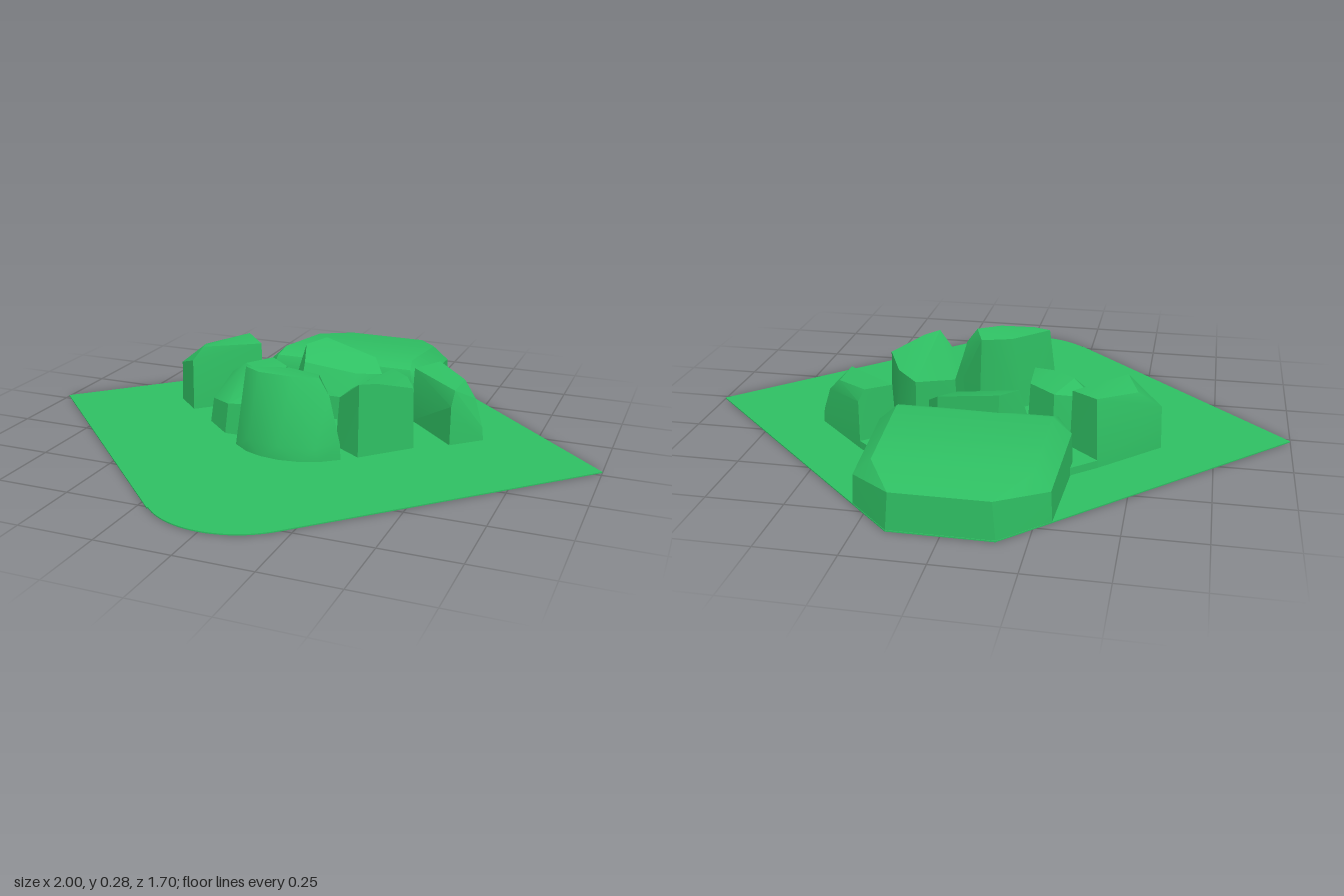
import * as THREE from 'three';
import { ConvexGeometry } from 'three/addons/geometries/ConvexGeometry.js';
import { toCreasedNormals } from 'three/addons/utils/BufferGeometryUtils.js';

export function createModel() {
  const model = new THREE.Group();
  const green = new THREE.MeshStandardMaterial({ color: 0x2fc063 });
  green.name = 'green';

  const add = (name, geometry) => {
    const mesh = new THREE.Mesh(geometry, green);
    mesh.name = name;
    model.add(mesh);
  };

  // A faceted boulder: footprint [x, z] on the ground, top corners [x, y, z]
  const rock = (name, foot, top, crease = 0.4) => {
    const points = foot.map(([x, z]) => new THREE.Vector3(x, 0, z));
    top.forEach((p) => points.push(new THREE.Vector3(...p)));
    add(name, toCreasedNormals(new ConvexGeometry(points), crease));
  };

  // Thin ground plate, diamond shaped with a cut back and a rounded front
  const outline = new THREE.Shape();
  outline.moveTo(-1, 0.02);
  outline.lineTo(-0.21, -0.765);
  outline.absarc(0, -0.545, 0.3, Math.PI * 1.25, Math.PI * 1.75, false);
  outline.lineTo(1, 0.02);
  outline.lineTo(0.16, 0.85);
  outline.lineTo(-0.16, 0.85);
  outline.closePath();
  const ground = new THREE.ExtrudeGeometry(outline, { depth: 0.004, bevelEnabled: false, curveSegments: 20 });
  add('ground', ground.rotateX(-Math.PI / 2));

  // Large sloping slab at the back
  rock('backSlab',
    [[-0.16, -0.848], [0.16, -0.848], [0.3, -0.71], [0.315, -0.36], [0.27, -0.31], [-0.27, -0.31], [-0.315, -0.36], [-0.3, -0.71]],
    [[-0.15, 0.125, -0.848], [0.15, 0.125, -0.848],
      [0.295, 0.1, -0.71], [0.31, 0.13, -0.37], [-0.31, 0.13, -0.37], [-0.295, 0.1, -0.71],
      [0.24, 0.15, -0.7], [-0.24, 0.15, -0.7],
      [0.25, 0.185, -0.38], [-0.25, 0.185, -0.38],
      [0.26, 0.165, -0.325], [-0.26, 0.165, -0.325], [0.27, 0.13, -0.31], [-0.27, 0.13, -0.31]], 0.6);

  // Front boulder with a curved, leaning face
  rock('frontRock',
    [[-0.19, 0.2], [-0.13, 0.245], [-0.07, 0.268], [0, 0.277], [0.07, 0.268], [0.13, 0.245], [0.19, 0.2], [0.08, 0.1], [-0.08, 0.1]],
    [[0, 0.05, 0.277], [-0.12, 0.05, 0.25], [0.12, 0.05, 0.25], [0.187, 0.06, 0.2],
      [-0.16, 0.275, 0.17], [-0.1, 0.272, 0.2], [0.02, 0.27, 0.2], [0.1, 0.265, 0.165],
      [0.14, 0.21, 0.175], [-0.04, 0.262, 0.09], [0.07, 0.25, 0.09]], 0.6);

  // Pair of boulders at the sides
  rock('leftRock',
    [[0.23, -0.22], [0.3, -0.15], [0.38, 0.01], [0.235, 0.16], [0.13, 0.09], [0.12, -0.07]],
    [[0.235, 0.255, 0.155], [0.28, 0.25, 0.11], [0.375, 0.215, 0.01], [0.31, 0.205, -0.13],
      [0.23, 0.2, -0.215], [0.14, 0.175, 0.08], [0.13, 0.16, -0.07]]);
  rock('rightRock',
    [[-0.23, -0.22], [-0.13, -0.13], [-0.12, 0.05], [-0.17, 0.12], [-0.27, 0.12], [-0.37, 0.03], [-0.38, -0.07], [-0.34, -0.15]],
    [[-0.23, 0.19, -0.21], [-0.14, 0.19, -0.13], [-0.13, 0.185, 0.03], [-0.2, 0.2, -0.02], [-0.28, 0.2, -0.08],
      [-0.18, 0.12, 0.11], [-0.26, 0.11, 0.11], [-0.36, 0.09, 0.02], [-0.35, 0.15, -0.12]]);

  // Centre boulder in front of the slab
  rock('centreRock',
    [[-0.07, -0.37], [0.14, -0.32], [0.18, -0.26], [0.11, -0.155], [-0.1, -0.155], [-0.19, -0.25]],
    [[-0.08, 0.24, -0.37], [-0.13, 0.23, -0.29], [0.13, 0.2, -0.32], [0.175, 0.16, -0.26],
      [0.1, 0.17, -0.2], [-0.1, 0.19, -0.2], [0.1, 0.09, -0.155], [-0.1, 0.09, -0.155]]);

  // Angled blocks at the rear corners
  rock('rearLeftBlock',
    [[0.39, -0.34], [0.58, -0.15], [0.485, -0.06], [0.29, -0.25]],
    [[0.37, 0.21, -0.33], [0.3, 0.2, -0.25], [0.49, 0.19, -0.09], [0.54, 0.14, -0.18],
      [0.49, 0.19, -0.22], [0.575, 0.05, -0.15], [0.485, 0.14, -0.065], [0.39, 0.17, -0.34]]);
  rock('rearRightBlock',
    [[-0.39, -0.34], [-0.58, -0.15], [-0.485, -0.06], [-0.29, -0.25]],
    [[-0.38, 0.235, -0.33], [-0.295, 0.225, -0.25], [-0.46, 0.235, -0.1], [-0.5, 0.215, -0.2],
      [-0.575, 0.15, -0.15], [-0.485, 0.19, -0.065]]);

  // Low stones joining the slab to the corner blocks
  for (const [side, s] of [['left', 1], ['right', -1]]) {
    const foot = [[0.31 * s, -0.41], [0.39 * s, -0.34], [0.31 * s, -0.25], [0.25 * s, -0.31]];
    rock(side + 'LowStone', foot, foot.map(([x, z]) => [x, 0.03, z]));
  }

  return model;
}
